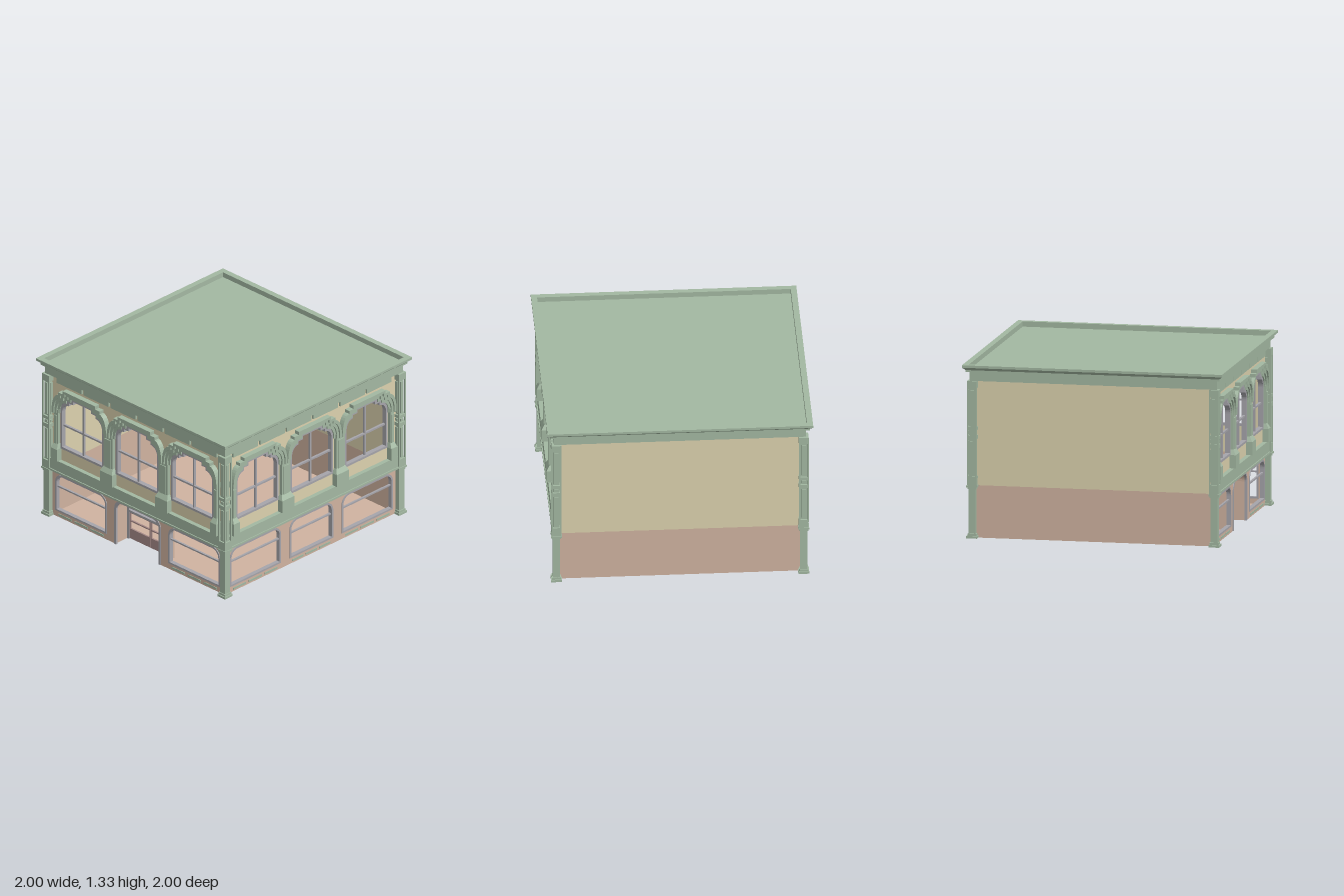
import * as THREE from 'three';

const mat = (color) => new THREE.MeshStandardMaterial({ color, flatShading: true, side: THREE.DoubleSide });
const green = mat(0xa3b8a2), cream = mat(0xdcd2ae), pink = mat(0xd0b3a0), mauve = mat(0xa68a88), grey = mat(0xa6a5ab);

const W = 0.92;        // wall plane
const T = 0.025;       // wall thickness
const BAY = 0.583;     // spacing of the window bays
const SPLIT = 0.4;     // height where the storeys meet

function add(parent, name, geometry, material) {
  const m = new THREE.Mesh(geometry, material);
  m.name = name;
  parent.add(m);
  return m;
}

// box given by its min and max on each axis
function box(parent, name, material, x0, x1, y0, y1, z0, z1) {
  const g = new THREE.BoxGeometry(x1 - x0, y1 - y0, z1 - z0);
  g.translate((x0 + x1) / 2, (y0 + y1) / 2, (z0 + z1) / 2);
  return add(parent, name, g, material);
}

// flat outline with holes, pushed out from z0 to z1
function slab(parent, name, material, outline, holes, z0, z1) {
  const shape = new THREE.Shape(outline);
  shape.holes = holes.map((h) => new THREE.Path(h));
  const g = new THREE.ExtrudeGeometry(shape, { depth: z1 - z0, bevelEnabled: false });
  return add(parent, name, g.translate(0, 0, z0), material);
}

const rect = (x0, x1, y0, y1) =>
  [[x0, y0], [x1, y0], [x1, y1], [x0, y1]].map((p) => new THREE.Vector2(...p));

// mirror a right-hand half contour (bottom to top) about x = cx
function mirrored(half, cx) {
  const right = half.map(([x, y]) => new THREE.Vector2(cx + x, y));
  const left = half.map(([x, y]) => new THREE.Vector2(cx - x, y)).reverse();
  return [...right, ...left];
}

// stepped arch, grown outwards by d
function steppedArch(cx, d, yb) {
  const half = [[0.228 + d, yb]];
  for (let i = 0; i <= 8; i++) {
    const a = (i / 8) * Math.PI / 2;
    half.push([0.158 + d + 0.07 * Math.cos(a), 0.92 + (0.09 + d) * Math.sin(a)]);
  }
  half.push([0.158 + d, 1.035 + d], [0.112 + d, 1.035 + d], [0.112 + d, 1.062 + d]);
  return mirrored(half, cx);
}

// opening with rounded top corners, shrunk by d
function roundTop(cx, w, y0, y1, d = 0) {
  const r = 0.08 - d, half = [[w - d, y0]];
  for (let i = 0; i <= 8; i++) {
    const a = (i / 8) * Math.PI / 2;
    half.push([w - 0.08 + r * Math.cos(a), y1 - 0.08 + r * Math.sin(a)]);
  }
  return mirrored(half, cx);
}

// box tapering towards its top, back side kept on the wall
function taper(parent, name, cx, w0, w1, y0, y1, z0, z1) {
  const g = new THREE.BoxGeometry(1, 1, 1), p = g.attributes.position;
  for (let i = 0; i < p.count; i++) {
    const top = p.getY(i) > 0, front = p.getZ(i) > 0;
    p.setXYZ(i, cx + p.getX(i) * 2 * (top ? w1 : w0), top ? y1 : y0, front ? (top ? z1 : z0) : W - 0.01);
  }
  return add(parent, name, g, green);
}

function pilaster(f, cx, base, shaft) {
  taper(f, 'pilasterBase', cx, base, base, 0.5, 0.6, 0.968, 0.968);
  taper(f, 'pilasterShoulder', cx, base, shaft, 0.6, 0.64, 0.968, 0.945);
  taper(f, 'pilasterShaft', cx, shaft, shaft, 0.64, 0.93, 0.945, 0.945);
  taper(f, 'pilasterPanel', cx, shaft * 0.65, shaft * 0.65, 0.64, 0.88, 0.952, 0.952);
}

function upperWindow(f, cx) {
  slab(f, 'windowFrame', grey, steppedArch(cx, 0, 0.6), [steppedArch(cx, -0.018, 0.618)], W - 0.03, W + 0.008);
  box(f, 'mullion', grey, cx - 0.007, cx + 0.007, 0.61, 1.05, W - 0.022, W - 0.004);
  box(f, 'glazingBar', grey, cx - 0.22, cx + 0.22, 0.793, 0.807, W - 0.022, W - 0.004);
  // hood moulding in three steps
  [[0, 0.018], [0.02, 0.03], [0.04, 0.043]].forEach(([d, out]) => {
    slab(f, 'archMoulding', green,
      [...steppedArch(cx, 0.06, 0.9), ...steppedArch(cx, d, 0.9).reverse()], [], W - 0.005, W + out);
  });
}

function lowerWindow(f, cx, w) {
  slab(f, 'shopWindowFrame', grey, roundTop(cx, w, 0.05, 0.37), [roundTop(cx, w, 0.064, 0.37, 0.016)], W - 0.028, W + 0.006);
  box(f, 'transomBar', grey, cx - w + 0.01, cx + w - 0.01, 0.25, 0.262, W - 0.02, W - 0.004);
  for (const s of [-1, 0, 1])
    box(f, 'basePanel', green, cx + s * w * 0.62 - w * 0.25, cx + s * w * 0.62 + w * 0.25, 0.014, 0.03, W - 0.005, W + 0.004);
}

function entrance(f) {
  const back = 0.78, w = 0.237;
  slab(f, 'porchLining', pink, [...roundTop(0, w + 0.01, 0, 0.387), ...roundTop(0, w, 0, 0.377).reverse()], [], back, W);
  slab(f, 'porchTrim', grey, [...roundTop(0, w + 0.008, 0, 0.385), ...roundTop(0, w, 0, 0.377, 0.012).reverse()], [], W - 0.01, W + 0.006);
  slab(f, 'doorFrame', grey, [...roundTop(0, w, 0, 0.377), ...roundTop(0, w, 0, 0.377, 0.018).reverse()], [], back - 0.01, back + 0.015);
  box(f, 'doorHeader', grey, -w, w, 0.23, 0.248, back - 0.01, back + 0.015);
  for (const s of [-1, 1]) {
    const c = s * 0.111;
    slab(f, 'doorLeaf', mauve, rect(c - 0.109, c + 0.109, 0.005, 0.232),
      [rect(c - 0.1, c + 0.1, 0.088, 0.15), rect(c - 0.1, c + 0.1, 0.16, 0.222)], back - 0.006, back + 0.008);
  }
}

// one decorated facade, facing +z
function facade(hasDoor) {
  const f = new THREE.Group();
  f.name = hasDoor ? 'frontFacade' : 'sideFacade';
  const bays = [-BAY, 0, BAY];
  slab(f, 'upperWall', cream, rect(-W, W, SPLIT, 1.2), bays.map((c) => steppedArch(c, 0, 0.6)), W - T, W);
  const shops = [[-0.598, 0.273], [0, 0.232], [0.598, 0.273]];
  const side = hasDoor ? shops.filter(([c]) => c !== 0) : shops;
  const outline = rect(-W, W, 0, SPLIT);
  // the door opening cuts through the foot of the wall
  if (hasDoor) outline.splice(1, 0, ...roundTop(0, 0.237, 0, 0.377).reverse());
  slab(f, 'lowerWall', pink, outline, side.map(([c, w]) => roundTop(c, w, 0.05, 0.37)), W - T, W);
  bays.forEach((c) => upperWindow(f, c));
  side.forEach(([c, w]) => lowerWindow(f, c, w));
  if (hasDoor) entrance(f);
  for (const s of [-1, 1]) {
    pilaster(f, s * BAY / 2, 0.064, 0.047);
    pilaster(f, s * 0.842, 0.032, 0.02);
  }
  // belt course and top panels
  box(f, 'beltCourse', green, -0.9, 0.9, 0.41, 0.5, W - 0.01, 0.955);
  box(f, 'beltTrim', green, -0.9, 0.9, 0.398, 0.413, W - 0.01, 0.963);
  for (let i = 0; i < 6; i++) {
    const c = (i - 2.5) * 0.285;
    box(f, 'friezePanel', green, c - 0.131, c + 0.131, 1.15, 1.195, W - 0.005, W + 0.016);
  }
  return f;
}

function plainWall(name) {
  const f = new THREE.Group();
  f.name = name;
  box(f, 'upperWall', cream, -W, W, SPLIT, 1.2, W - T, W);
  box(f, 'lowerWall', pink, -W, W, 0, SPLIT, W - T, W);
  return f;
}

// corner pillar with recessed panels on its upper half
function cornerPillar() {
  const g = new THREE.Group();
  g.name = 'cornerPillar';
  const block = (name, h, y0, y1) => box(g, name, green, -h, h, y0, y1, -h, h);
  block('pillarFoot', 0.041, 0, 0.018);
  block('pillarBase', 0.034, 0.018, 0.035);
  block('lowerShaft', 0.027, 0.035, 0.39);
  block('pillarRing', 0.034, 0.375, 0.39);
  block('pillarCollar', 0.041, 0.39, 0.405);
  block('pillarBlock', 0.036, 0.405, 0.465);
  block('upperCore', 0.024, 0.46, 1.2);
  [[0.455, 0.475], [0.755, 0.785], [0.825, 0.85], [1.145, 1.2]].forEach(([a, b]) => block('pillarRail', 0.037, a, b));
  for (const x of [-1, 1]) for (const z of [-1, 1]) {
    const a = x * 0.0315, b = z * 0.0315;
    box(g, 'pillarEdge', green, a - 0.0055, a + 0.0055, 0.46, 1.2, b - 0.0055, b + 0.0055);
  }
  [[0.49, 0.74], [0.795, 0.815], [0.865, 1.13]].forEach(([a, b]) => {
    box(g, 'pillarPanel', green, -0.015, 0.015, a, b, -0.032, 0.032);
    box(g, 'pillarPanel', green, -0.032, 0.032, a, b, -0.015, 0.015);
  });
  return g;
}

export function createModel() {
  const model = new THREE.Group();
  model.name = 'shopBuilding';

  model.add(facade(true));
  const right = facade(false);
  right.rotation.y = Math.PI / 2;
  const rear = plainWall('backWall');
  rear.rotation.y = Math.PI;
  const blank = plainWall('blankSideWall');
  blank.rotation.y = -Math.PI / 2;
  model.add(right, rear, blank);

  for (const x of [-1, 1]) for (const z of [-1, 1]) {
    const p = cornerPillar();
    p.position.set(x * 0.931, 0, z * 0.931);
    model.add(p);
  }

  // floor, notched for the entrance
  const plan = [[-W, -W], [-0.237, -W], [-0.237, -0.78], [0.237, -0.78], [0.237, -W], [W, -W], [W, W], [-W, W]];
  const floor = slab(model, 'floor', pink, plan.map((p) => new THREE.Vector2(...p)), [], 0, 0.01);
  floor.rotation.x = -Math.PI / 2;

  // square cornice and sunken roof, swept from one profile
  const profile = [[0, 1.2], [0.95, 1.2], [0.95, 1.27], [0.975, 1.27], [0.975, 1.285], [1, 1.306],
    [1, 1.325], [0.955, 1.325], [0.955, 1.285], [0, 1.285]];
  const cornice = new THREE.LatheGeometry(
    profile.map(([r, y]) => new THREE.Vector2(r * Math.SQRT2, y)), 4, Math.PI / 4);
  add(model, 'corniceAndRoof', cornice, green);
  return model;
}
